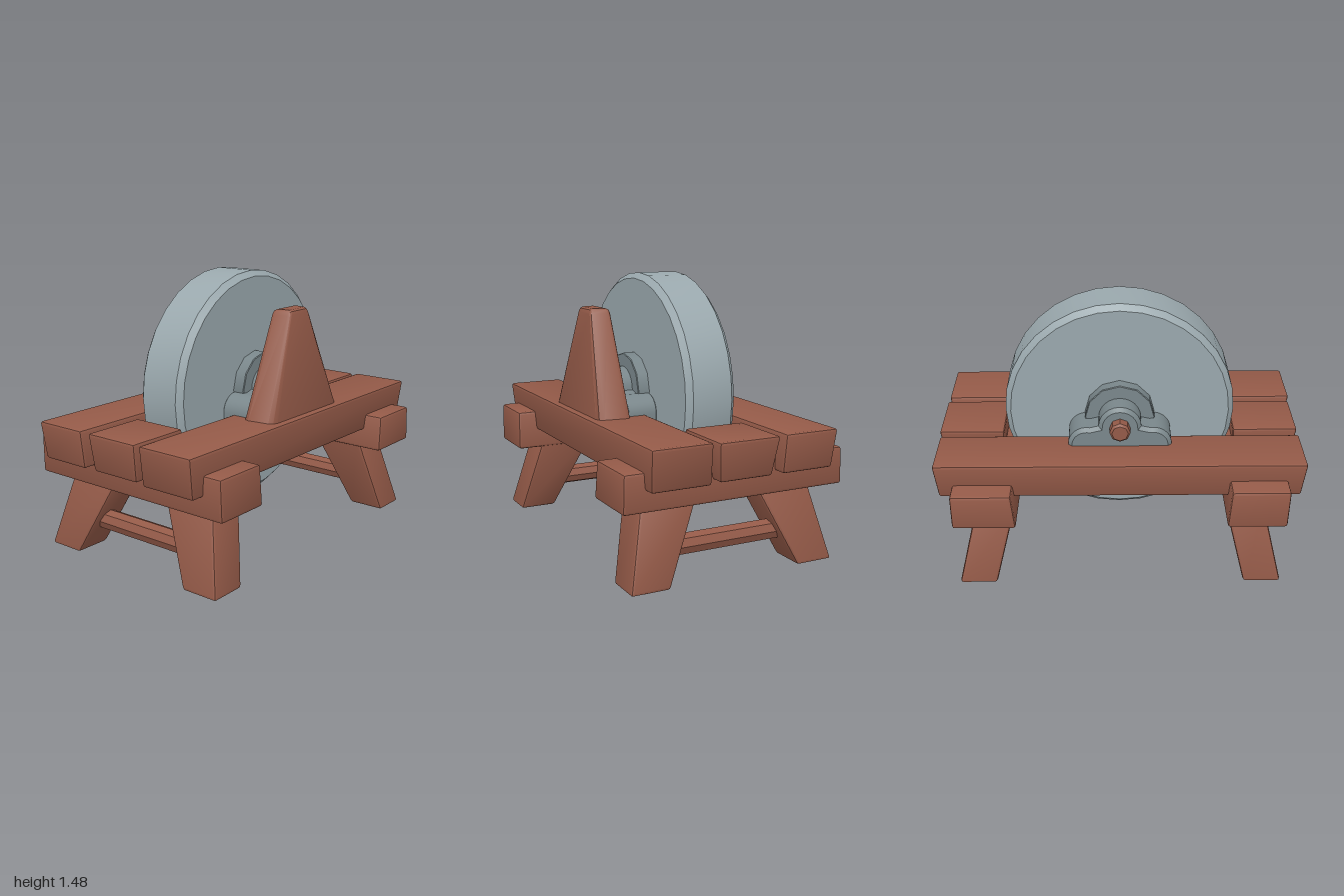
import * as THREE from 'three';
import { toCreasedNormals } from 'three/addons/utils/BufferGeometryUtils.js';
import { RoundedBoxGeometry } from 'three/addons/geometries/RoundedBoxGeometry.js';

const wood = new THREE.MeshStandardMaterial({ color: 0x945a48 });
const stone = new THREE.MeshStandardMaterial({ color: 0x9aa8ad });
const iron = new THREE.MeshStandardMaterial({ color: 0x7a878b });

const lerp = THREE.MathUtils.lerp;

// Chamfered block lofted from a bottom to a top rectangle [x0, x1, z0, z1];
// pinch narrows its +x side in z.
function block(y0, y1, bottom, top, radius = 0.015, pinch = 0) {
  const mid = bottom.map((v, i) => (v + top[i]) / 2);
  const w = mid[1] - mid[0], h = y1 - y0, d = mid[3] - mid[2];
  const geo = new RoundedBoxGeometry(w, h, d, 1, radius);
  const p = geo.attributes.position;
  for (let i = 0; i < p.count; i++) {
    const u = p.getX(i) / w + 0.5, t = p.getY(i) / h + 0.5, v = p.getZ(i) / d + 0.5;
    const [x0, x1, z0, z1] = bottom.map((b, k) => lerp(b, top[k], t));
    p.setXYZ(i, lerp(x0, x1, u), lerp(y0, y1, t), lerp(z0 + pinch * u, z1 - pinch * u, v));
  }
  return toCreasedNormals(geo, 0.5);
}

// Turned part along x from [radius, x] points
function turned(points, sides) {
  const geo = new THREE.LatheGeometry(points.map(([r, x]) => new THREE.Vector2(r, x)), sides);
  return toCreasedNormals(geo.rotateZ(-Math.PI / 2), 0.6);
}

// Solid disc or rod with chamfered ends
function rod(x0, x1, r, c, sides) {
  return turned([[0, x0], [r - c, x0], [r, x0 + c], [r, x1 - c], [r - c, x1], [0, x1]], sides);
}

// Bearing outline: a central hump between two lower lobes
function bearing() {
  const s = new THREE.Shape();
  s.moveTo(-0.28, 0.68);
  s.lineTo(0.28, 0.68);
  s.absarc(0.18, 0.74, 0.1, 0, 1.75, false);
  s.absarc(0, 0.85, 0.115, 0, Math.PI, false);
  s.absarc(-0.18, 0.74, 0.1, Math.PI - 1.75, Math.PI, false);
  const geo = new THREE.ExtrudeGeometry(s, {
    depth: 0.16, curveSegments: 6, bevelSize: 0.02, bevelThickness: 0.02, bevelOffset: -0.02, bevelSegments: 1,
  });
  geo.translate(0, 0, -0.08).rotateY(Math.PI / 2);
  return toCreasedNormals(geo, 0.6);
}

export function createModel() {
  const model = new THREE.Group();
  const add = (name, geo, mat, x = 0, y = 0, z = 0) => {
    const mesh = new THREE.Mesh(geo, mat);
    mesh.name = name;
    mesh.position.set(x, y, z);
    model.add(mesh);
  };

  // Bench top: two long planks and a short one at each end
  add('rightPlank', block(0.53, 0.735, [-0.505, -0.21, -0.97, 0.97], [-0.525, -0.215, -0.99, 0.99]), wood);
  add('leftPlank', block(0.52, 0.74, [0.19, 0.515, -0.96, 0.965], [0.2, 0.53, -0.995, 1]), wood);
  add('frontShortPlank', block(0.53, 0.735, [-0.145, 0.15, 0.645, 0.965], [-0.16, 0.16, 0.63, 0.99]), wood);
  add('backShortPlank', block(0.53, 0.735, [-0.145, 0.15, -0.97, -0.65], [-0.175, 0.17, -1, -0.64]), wood);

  // Cross beams
  add('frontBeam', block(0.41, 0.63, [-0.63, 0.63, 0.57, 0.89], [-0.625, 0.625, 0.585, 0.895]), wood);
  add('backBeam', block(0.41, 0.61, [-0.63, 0.63, -0.895, -0.555], [-0.625, 0.625, -0.895, -0.575]), wood);

  // Splayed legs and the stretcher between each pair
  const range = (s, a, b) => (s > 0 ? [a, b] : [-b, -a]);
  for (const sz of [1, -1]) {
    const end = sz > 0 ? 'front' : 'back';
    for (const sx of [1, -1]) {
      add(end + (sx > 0 ? 'LeftLeg' : 'RightLeg'), block(0, 0.45,
        [...range(sx, 0.375, 0.585), ...range(sz, 0.685, 0.89)],
        [...range(sx, 0.16, 0.48), ...range(sz, 0.57, 0.78)]), wood);
    }
    add(end + 'Stretcher', rod(-0.34, 0.32, 0.057, 0.01, 8), wood, 0, 0.17, sz * 0.745);
  }

  // Grindstone with hub and axle
  add('grindstone', rod(-0.145, 0.14, 0.63, 0.03, 32), stone, 0, 0.85);
  add('hub', rod(-0.21, 0.207, 0.19, 0.004, 12), iron, 0, 0.85);
  add('axle', rod(-0.387, 0.34, 0.056, 0.012, 8), wood, 0, 0.85);

  // Bearings on the planks
  add('rightBearing', bearing(), iron, -0.225);
  add('leftBearing', bearing(), iron, 0.225);

  // Tapered upright board outside the left bearing
  add('uprightBoard', block(0.7, 1.3, [0.305, 0.495, -0.34, 0.34], [0.33, 0.435, -0.1, 0.1], 0.026, 0.025), wood);

  return model;
}
